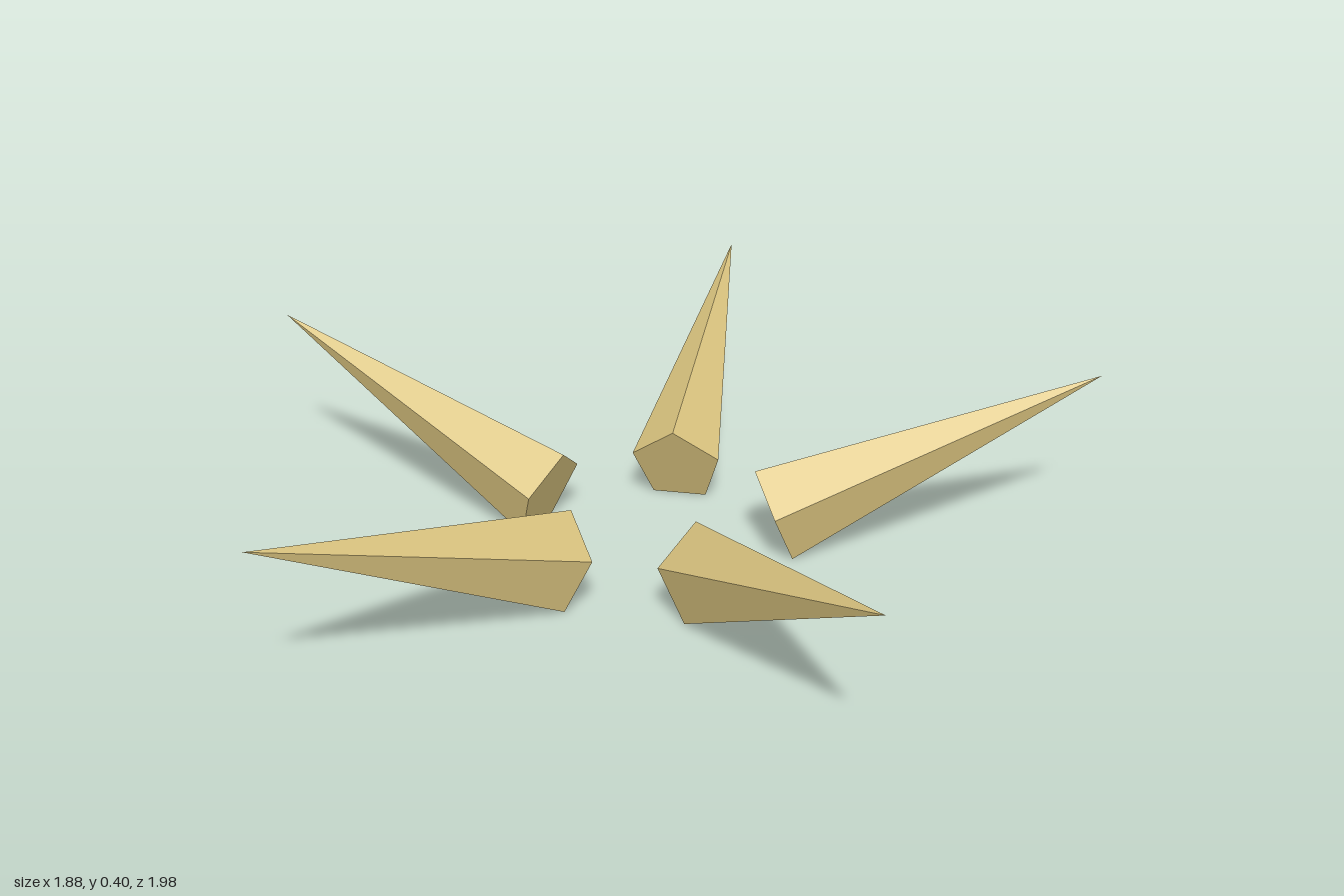
import * as THREE from 'three';

export function createModel() {
  const group = new THREE.Group();
  group.name = 'spikeRing';

  const gold = new THREE.MeshStandardMaterial({ color: 0xd8c27e, flatShading: true });
  gold.name = 'pale gold';

  // One five-sided spike leaning outward along +x, with a ridge on top
  const base = new THREE.Vector3(0.283, 0.09, 0);
  const tip = new THREE.Vector3(1.042, 0.397, 0);
  const axis = tip.clone().sub(base).normalize();
  const up = new THREE.Vector3(-axis.y, axis.x, 0);
  const side = new THREE.Vector3(0, 0, 1);
  const middle = base.clone().add(tip).multiplyScalar(0.5);

  const spike = new THREE.ConeGeometry(0.119, base.distanceTo(tip), 5);
  spike.scale(0.935, 1, 1);
  spike.applyMatrix4(new THREE.Matrix4().makeBasis(side, axis, up).setPosition(middle));

  // Five spikes evenly spaced around the ring centre
  for (let i = 0; i < 5; i++) {
    const mesh = new THREE.Mesh(spike, gold);
    mesh.name = `spike${i + 1}`;
    mesh.rotation.y = (i * Math.PI * 2) / 5;
    mesh.position.x = -0.1;
    group.add(mesh);
  }
  return group;
}
